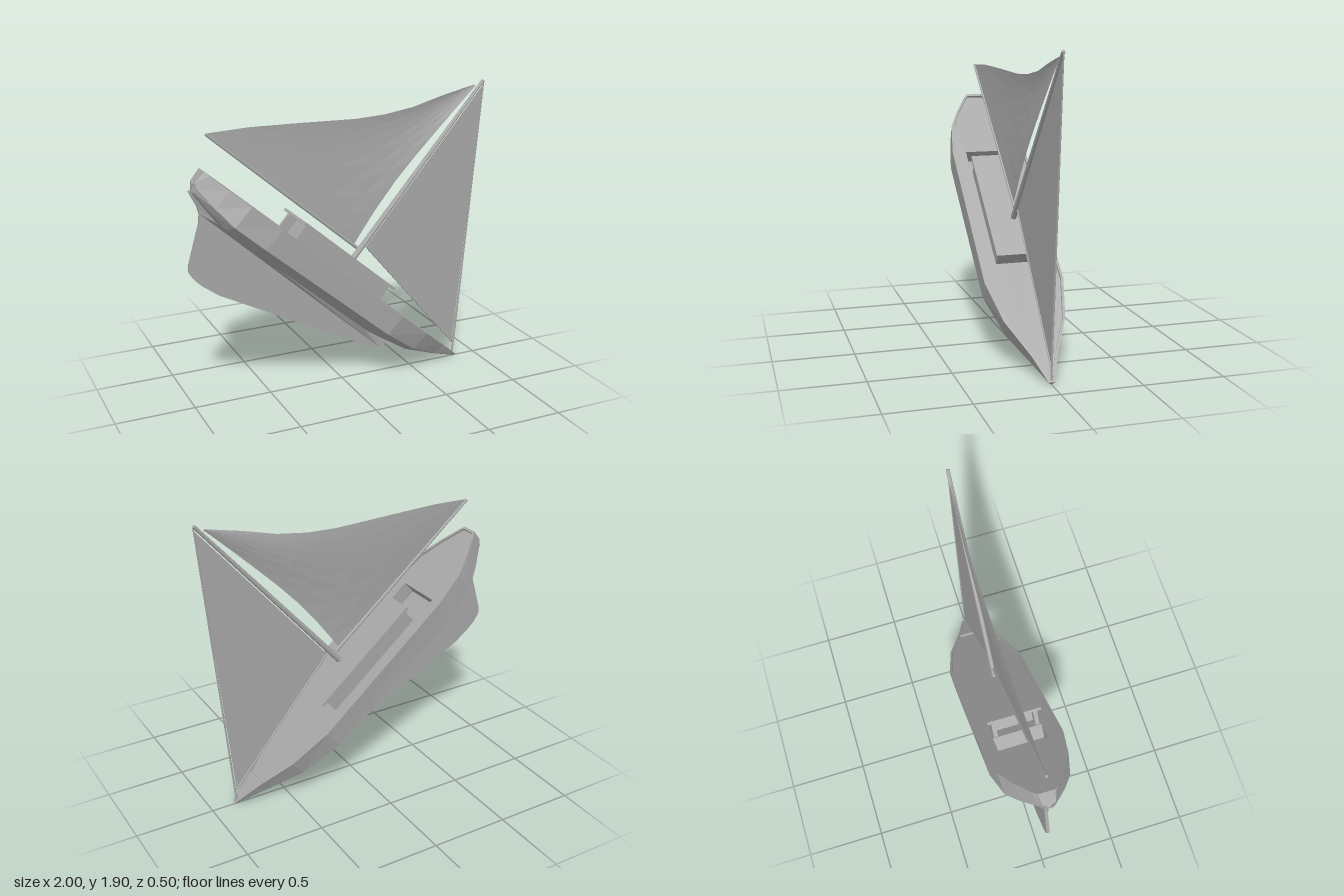
import * as THREE from 'three';

const grey = new THREE.MeshStandardMaterial({ color: 0xa6a6a6, side: THREE.DoubleSide, flatShading: true });
grey.name = 'grey';

export function createModel() {
  // The boat is built level (bow +x, deck up +y), then pitched bow-down.
  const boat = new THREE.Group();
  boat.name = 'sailboat';

  const add = (name, geometry) => {
    const mesh = new THREE.Mesh(geometry, grey);
    mesh.name = name;
    boat.add(mesh);
    return mesh;
  };
  // Box given by its limits
  const box = (name, x0, x1, y0, y1, z0, z1) => add(name,
    new THREE.BoxGeometry(x1 - x0, y1 - y0, z1 - z0).translate((x0 + x1) / 2, (y0 + y1) / 2, (z0 + z1) / 2));
  // Round spar between two points
  const spar = (name, a, b, r0, r1, sides = 8) => {
    const p = new THREE.Vector3(...a), q = new THREE.Vector3(...b);
    const mesh = add(name, new THREE.CylinderGeometry(r1, r0, p.distanceTo(q), sides));
    mesh.position.copy(p).lerp(q, 0.5);
    mesh.quaternion.setFromUnitVectors(new THREE.Vector3(0, 1, 0), q.clone().sub(p).normalize());
    return mesh;
  };
  // Surface through rows of points
  const loft = (rows) => {
    const pos = [];
    for (let i = 0; i < rows.length - 1; i++) {
      for (let j = 0; j < rows[i].length - 1; j++) {
        const a = rows[i][j], b = rows[i + 1][j], c = rows[i + 1][j + 1], d = rows[i][j + 1];
        pos.push(...a, ...d, ...b, ...b, ...d, ...c);
      }
    }
    const g = new THREE.BufferGeometry();
    g.setAttribute('position', new THREE.Float32BufferAttribute(pos, 3));
    g.computeVertexNormals();
    return g;
  };

  // Hull stations: x, gunwale half width, chine half width, chine height, bottom height
  const top = 0.566, deckY = 0.55, rim = 0.016;
  const stations = [
    [-1.66, 0.05, 0.04, 0.48, 0.46],
    [-1.63, 0.075, 0.055, 0.46, 0.42],
    [-1.5, 0.15, 0.13, 0.43, 0.385],
    [-1.36, 0.215, 0.2, 0.408, 0.352],
    [-1.13, 0.25, 0.24, 0.408, 0.345],
    [-0.07, 0.25, 0.237, 0.415, 0.345],
    [0.21, 0.19, 0.165, 0.432, 0.385],
    [0.455, 0.08, 0.06, 0.485, 0.47],
    [0.635, 0.02, 0.012, 0.552, 0.545],
  ];
  const inner = (w) => Math.max(w - rim, 0.004);
  const sections = stations.map(([x, w, wc, yc, yb]) => {
    const half = [[inner(w), deckY], [inner(w), top], [w, top], [wc, yc], [wc * 0.55, yc + (yb - yc) * 0.75]];
    return [
      ...half.map(([z, y]) => [x, y, z]),
      [x, yb, 0],
      ...half.reverse().map(([z, y]) => [x, y, -z]),
    ];
  });
  add('hull', loft(sections));

  // Flat end plates at transom and stem
  for (const [name, s] of [['transom', stations[0]], ['stem', stations[stations.length - 1]]]) {
    const [x, w, wc, yc, yb] = s;
    const shape = new THREE.Shape([[-w, top], [-wc, yc], [0, yb], [wc, yc], [w, top]].map((p) => new THREE.Vector2(...p)));
    const g = new THREE.ShapeGeometry(shape).rotateY(name === 'stem' ? Math.PI / 2 : -Math.PI / 2);
    add(name, g.translate(x, 0, 0));
  }
  box('sternRail', -1.66, -1.643, deckY, top, -0.05, 0.05);

  // Deck with an opening for the cockpit
  const side = stations.map(([x, w]) => [x, inner(w)]);
  const outline = [...side, ...side.slice().reverse().map(([x, z]) => [x, -z])];
  const deck = new THREE.Shape(outline.map((p) => new THREE.Vector2(...p)));
  const c0 = -1.14, c1 = -0.97, cw = 0.155, floorY = 0.45;
  deck.holes.push(new THREE.Path([[c0, -cw], [c0, cw], [c1, cw], [c1, -cw]].map((p) => new THREE.Vector2(...p))));
  add('deck', new THREE.ShapeGeometry(deck).rotateX(-Math.PI / 2).translate(0, deckY, 0));

  // Raised bow platform
  const bow = new THREE.Shape([[0.425, -0.08], [0.455, -0.064], [0.635, -0.01], [0.635, 0.01], [0.455, 0.064], [0.425, 0.08]]
    .map((p) => new THREE.Vector2(...p)));
  add('foredeck', new THREE.ExtrudeGeometry(bow, { depth: 0.012, bevelEnabled: false })
    .rotateX(-Math.PI / 2).translate(0, deckY, 0));

  // Cockpit well
  const th = 0.006;
  box('cockpitFloor', c0, c1, floorY - th, floorY, -cw, cw);
  box('cockpitAftWall', c0 - th, c0, floorY, deckY - 0.001, -cw, cw);
  box('cockpitFrontWall', c1, c1 + th, floorY, deckY - 0.001, -cw, cw);
  for (const s of [-1, 1]) {
    const z = s * (cw + th / 2);
    box('cockpitSide', c0, c1, floorY, deckY - 0.001, z - th / 2, z + th / 2);
  }

  // Cabin with an open aft niche and overhanging roof
  box('cabin', -0.9, -0.218, deckY - 0.005, 0.662, -0.145, 0.145);
  for (const s of [-1, 1]) {
    const z = s * 0.1325;
    box('cabinSide', -0.965, -0.9, deckY - 0.005, 0.662, z - 0.0125, z + 0.0125);
  }
  box('cabinRoof', -0.99, -0.188, 0.662, 0.68, -0.168, 0.168);

  // Long keel: thin at its edges, thicker where it meets the hull
  const keelPoints = [
    [-1.648, 0.419], [-1.6, 0.398], [-1.552, 0.378], [-1.51, 0.35], [-1.475, 0.3], [-1.43, 0.2], [-1.365, 0.057],
    [-1.335, 0.025], [-1.283, 0.01], [-1.22, 0.005], [-1.091, 0.014], [0.0285, 0.274], [0.081, 0.306],
    [0.121, 0.36], [0.12, 0.385], [0, 0.37], [-0.2, 0.37], [-1.35, 0.37], [-1.5, 0.41], [-1.635, 0.45],
  ];
  const keel = new THREE.ExtrudeGeometry(new THREE.Shape(keelPoints.map((p) => new THREE.Vector2(...p))),
    { depth: 1, bevelEnabled: false });
  const kp = keel.attributes.position;
  for (let i = 0; i < kp.count; i++) {
    const x = kp.getX(i), y = kp.getY(i);
    const half = y > 0.365 && x > -1.4 && x < -0.1 ? 0.05 : 0.01;
    kp.setZ(i, (kp.getZ(i) - 0.5) * 2 * half);
  }
  keel.computeVertexNormals();
  add('keel', keel);

  // Spars and forestay
  spar('mast', [-0.473, 0.67, 0], [-0.473, 2.082, 0], 0.019, 0.011);
  spar('mainBoom', [-1.768, 0.744, 0], [-0.5, 0.744, 0], 0.009, 0.011);
  spar('jibBoom', [-0.445, 0.785, 0], [0.565, 0.62, 0], 0.007, 0.007, 6);
  spar('forestay', [0.622, 0.555, 0], [-0.465, 2.078, 0], 0.006, 0.004, 6);

  // Mainsail rows: height at luff, luff x, leech x, leech height
  const mainRows = [
    [0.75, -0.53, -1.768, 0.75],
    [0.85, -0.54, -1.58, 0.925],
    [1.0, -0.552, -1.349, 1.116],
    [1.22, -0.558, -1.039, 1.368],
    [1.41, -0.55, -0.893, 1.506],
    [1.6, -0.535, -0.761, 1.659],
    [1.8, -0.517, -0.645, 1.831],
    [2.025, -0.494, -0.5, 2.028],
  ];
  const steps = 6;
  add('mainsail', loft(mainRows.map(([y0, x0, x1, y1], i) => {
    const belly = -0.028 * Math.sin(Math.PI * Math.min(1, i / (mainRows.length - 1)) * 0.85);
    return Array.from({ length: steps + 1 }, (_, k) => {
      const u = k / steps;
      return [x0 + (x1 - x0) * u, y0 + (y1 - y0) * u, belly * Math.sin(u * Math.PI * 0.75)];
    });
  })));

  // Triangular jib
  add('jib', loft([
    [[-0.449, 0.787, 0], [0.559, 0.623, 0]],
    [[-0.455, 2.06, 0], [-0.454, 2.062, 0]],
  ]));

  boat.rotation.z = THREE.MathUtils.degToRad(-40.54);
  const model = new THREE.Group();
  model.name = 'model';
  model.add(boat);
  return model;
}
